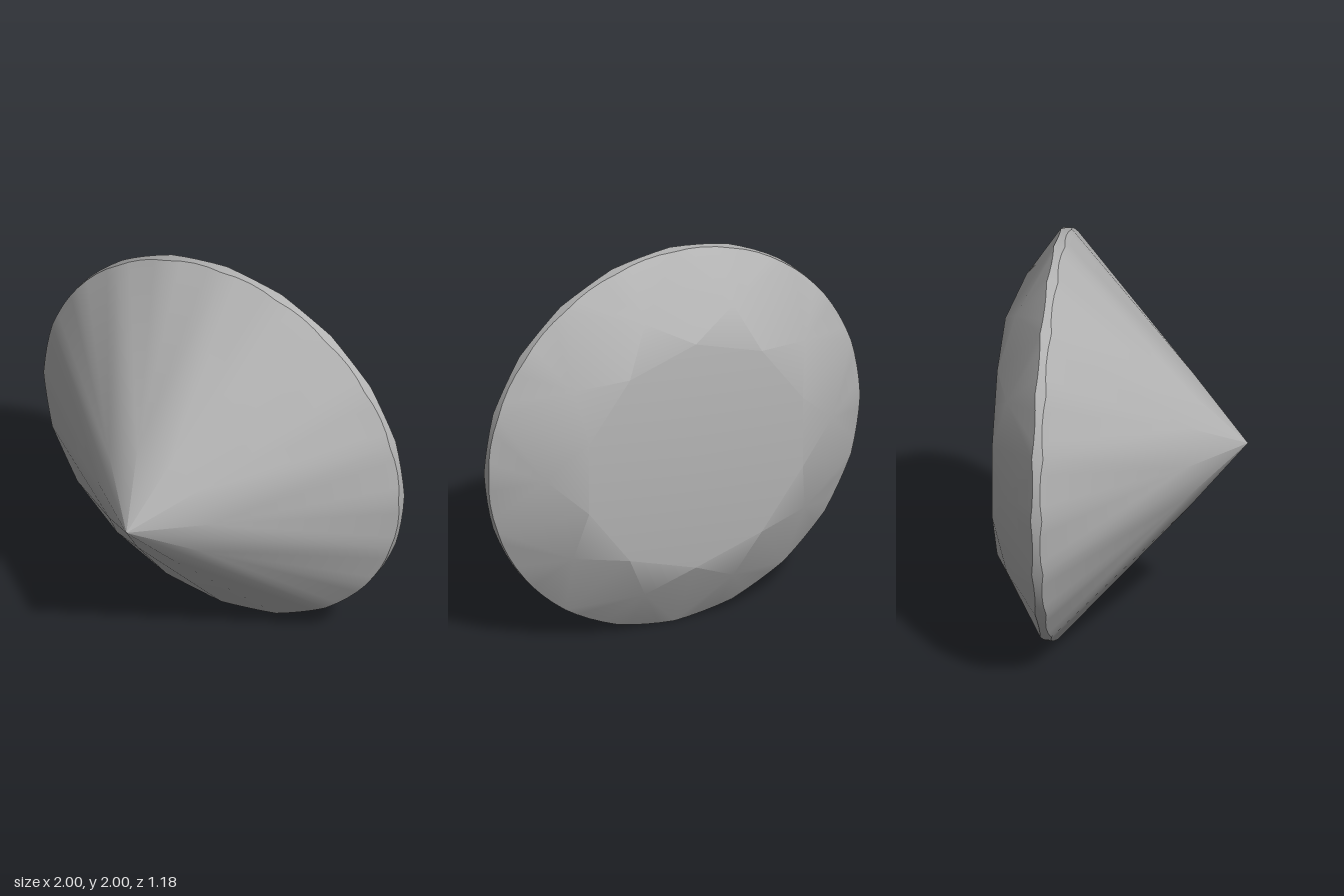
import * as THREE from 'three';

const SIDES = 10;      // main facets around the stone
const STEP = 360 / SIDES;
const HALF = STEP / 2;
const ARC = 4;         // girdle subdivisions per half facet
const CREASE = Math.cos(THREE.MathUtils.degToRad(30));
const CENTRE = new THREE.Vector3(0, 1, 0);

// Point at an angle and radius about the stone's axis, which runs along z
function polar(deg, r, z) {
  const a = THREE.MathUtils.degToRad(deg);
  return new THREE.Vector3(r * Math.cos(a), 1 + r * Math.sin(a), z);
}

// Where the plane through s, a and b cuts the girdle cylinder, from a0 to a0 + HALF
function girdleArc(s, a0, z) {
  const a = polar(a0, 1, z), b = polar(a0 + HALF, 1, z);
  const n = b.clone().sub(a).cross(s.clone().sub(a));
  const points = [];
  for (let i = 0; i <= ARC; i++) {
    const p = polar(a0 + HALF * i / ARC, 1, z);
    p.z = z - (n.x * (p.x - a.x) + n.y * (p.y - a.y)) / n.z;
    points.push(p);
  }
  return points;
}

// Split a convex facet into triangles that face away from the centre
function addFacet(tris, ...pts) {
  for (let i = 1; i < pts.length - 1; i++) {
    let [a, b, c] = [pts[0], pts[i], pts[i + 1]];
    let n = b.clone().sub(a).cross(c.clone().sub(a));
    const mid = a.clone().add(b).add(c).divideScalar(3).sub(CENTRE);
    if (n.dot(mid) < 0) {
      [b, c] = [c, b];
      n.negate();
    }
    tris.push({ pts: [a, b, c], n, dir: n.clone().normalize() });
  }
}

// Area-weighted normals, blended only across shallow edges
function facetGeometry(tris) {
  const key = p => p.toArray().map(v => Math.round(v * 1e4)).join();
  const shared = new Map();
  for (const t of tris) {
    for (const p of t.pts) {
      const k = key(p);
      if (!shared.has(k)) shared.set(k, []);
      shared.get(k).push(t);
    }
  }
  const positions = [], normals = [];
  for (const t of tris) {
    for (const p of t.pts) {
      const n = new THREE.Vector3();
      for (const o of shared.get(key(p))) if (o.dir.dot(t.dir) > CREASE) n.add(o.n);
      positions.push(...p.toArray());
      normals.push(...n.normalize().toArray());
    }
  }
  const g = new THREE.BufferGeometry();
  g.setAttribute('position', new THREE.Float32BufferAttribute(positions, 3));
  g.setAttribute('normal', new THREE.Float32BufferAttribute(normals, 3));
  return g;
}

export function createModel() {
  const group = new THREE.Group();
  group.name = 'cutGem';
  const stone = new THREE.MeshStandardMaterial({ color: 0xb4b4b4 });
  stone.name = 'gemGrey';

  const table = [], crown = [], girdle = [], pavilion = [];
  const tip = new THREE.Vector3(0, 1, 0.59);
  const tableCentre = new THREE.Vector3(0, 1, -0.59);
  const tableCorner = a => polar(a, 0.605, -0.59);
  const starPoint = a => polar(a, 0.77, -0.514);
  const breakPoint = a => polar(a, 0.32, 0.319);
  const backRim = -0.355, frontRim = -0.3;

  for (let i = 0; i < SIDES; i++) {
    const a = i * STEP;          // angle of a star point
    const main = a + HALF;       // angle of a main facet
    const star = starPoint(a), nextStar = starPoint(a + STEP);
    const inner = breakPoint(a), nextInner = breakPoint(a + STEP);

    // Flat table and the star facets around it
    addFacet(table, tableCentre, tableCorner(a - HALF), tableCorner(main));
    addFacet(crown, star, tableCorner(a - HALF), tableCorner(main));

    // Kite-shaped main facets
    addFacet(crown, tableCorner(main), star, polar(main, 1, backRim), nextStar);
    addFacet(pavilion, tip, inner, polar(main, 1, frontRim), nextInner);

    // Half facets either side of each star point, with the scalloped girdle between
    for (const start of [a - HALF, a]) {
      const back = girdleArc(star, start, backRim);
      const front = girdleArc(inner, start, frontRim);
      addFacet(crown, star, ...back);
      addFacet(pavilion, inner, ...front);
      for (let j = 0; j < ARC; j++) {
        addFacet(girdle, back[j], back[j + 1], front[j + 1], front[j]);
      }
    }
  }

  // Table and crown share one blended surface
  const parts = { crown: [...table, ...crown], girdle, pavilion };
  for (const [name, tris] of Object.entries(parts)) {
    const mesh = new THREE.Mesh(facetGeometry(tris), stone);
    mesh.name = name;
    group.add(mesh);
  }
  return group;
}
